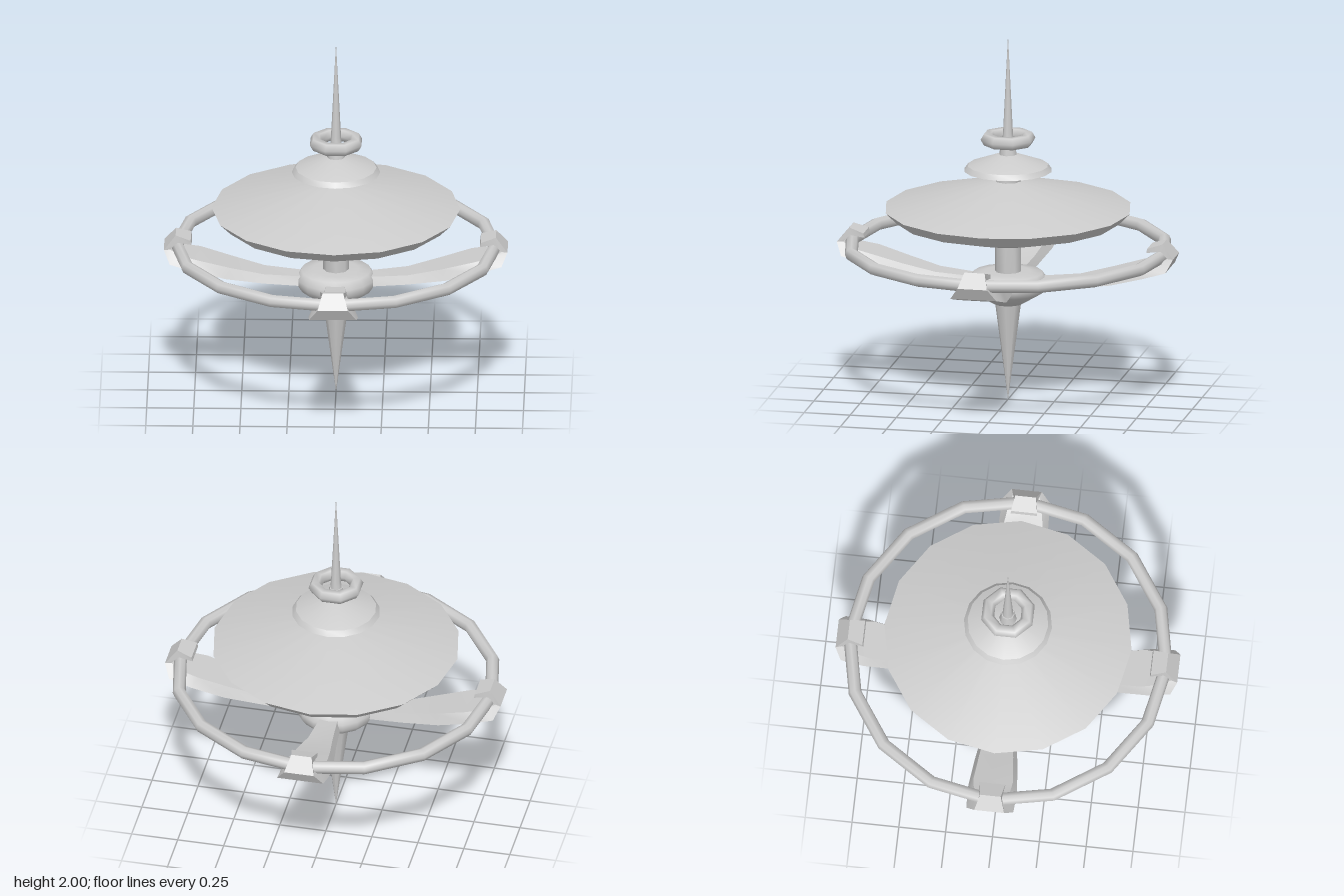
import * as THREE from 'three';
import { toCreasedNormals } from 'three/addons/utils/BufferGeometryUtils.js';

const material = new THREE.MeshStandardMaterial({ color: 0xcccccc });

function part(name, geometry, parent) {
  const mesh = new THREE.Mesh(geometry, material);
  mesh.name = name;
  parent.add(mesh);
  return mesh;
}

// Turned part: profile of [radius, height] from bottom to top
function turned(name, profile, sides, parent, crease = 0.5) {
  const points = profile.map(([r, y]) => new THREE.Vector2(r, y));
  return part(name, toCreasedNormals(new THREE.LatheGeometry(points, sides), crease), parent);
}

function ring(name, radius, tube, tubeSides, segments, y, parent) {
  const geometry = new THREE.TorusGeometry(radius, tube, tubeSides, segments);
  geometry.rotateX(Math.PI / 2);
  const mesh = part(name, geometry, parent);
  mesh.position.y = y;
  return mesh;
}

// Curved arm with a hooked end, lofted through four-cornered sections.
// Each section: outer [z, y, halfWidth], inner [z, y, halfWidth]
function armGeometry() {
  const sections = [
    [[0.15, 0.625, 0.06], [0.15, 0.675, 0.045]],
    [[0.38, 0.65, 0.085], [0.38, 0.695, 0.065]],
    [[0.58, 0.685, 0.115], [0.56, 0.74, 0.09]],
    [[0.76, 0.735, 0.132], [0.72, 0.785, 0.105]],
    [[0.88, 0.77, 0.125], [0.82, 0.805, 0.09]],
    [[0.912, 0.835, 0.08], [0.88, 0.835, 0.07]],
    [[0.85, 0.91, 0.055], [0.84, 0.87, 0.06]],
    [[0.77, 0.885, 0.07], [0.765, 0.862, 0.07]],
  ];
  const positions = [];
  const index = [];
  for (const [[zo, yo, wo], [zi, yi, wi]] of sections) {
    positions.push(-wo, yo, zo, wo, yo, zo, wi, yi, zi, -wi, yi, zi);
  }
  for (let i = 0; i < sections.length - 1; i++) {
    for (let k = 0; k < 4; k++) {
      const a = i * 4 + k;
      const b = i * 4 + ((k + 1) % 4);
      index.push(a, b, b + 4, a, b + 4, a + 4);
    }
  }
  const e = (sections.length - 1) * 4;
  index.push(0, 2, 1, 0, 3, 2, e, e + 1, e + 2, e, e + 2, e + 3);
  const geometry = new THREE.BufferGeometry();
  geometry.setAttribute('position', new THREE.Float32BufferAttribute(positions, 3));
  geometry.setIndex(index);
  return toCreasedNormals(geometry, 0.5);
}

export function createModel() {
  const model = new THREE.Group();
  model.name = 'spireStation';

  // Lower spike, core and central column
  turned('lowerSpike', [[0, 0], [0.072, 0.54]], 8, model, 0.9);
  turned('core', [[0, 0.53], [0.08, 0.53], [0.19, 0.595], [0.21, 0.625], [0.21, 0.66],
    [0.185, 0.698], [0.12, 0.705], [0, 0.705]], 16, model, 0.9);
  turned('column', [[0.07, 0.69], [0.07, 1.24]], 8, model, 0.9);

  // Main disc
  turned('mainDisc', [[0, 0.86], [0.12, 0.86], [0.6, 0.99], [0.66, 1.05],
    [0.075, 1.2], [0, 1.2]], 16, model);

  // Upper cap, neck, halo and antenna
  turned('upperCap', [[0, 1.225], [0.07, 1.225], [0.235, 1.258], [0.215, 1.285],
    [0.055, 1.345], [0, 1.345]], 16, model);
  turned('neck', [[0.048, 1.34], [0.036, 1.42], [0, 1.42]], 8, model, 0.9);
  ring('halo', 0.112, 0.036, 6, 8, 1.43, model).rotation.y = Math.PI / 8;
  turned('antenna', [[0.033, 1.4], [0.027, 1.46], [0, 2]], 8, model, 0.9);

  // Outer ring carried by four hooked arms
  ring('outerRing', 0.845, 0.035, 8, 16, 0.835, model);
  const arm = armGeometry();
  for (let i = 0; i < 4; i++) {
    part('arm', arm, model).rotation.y = (i * Math.PI) / 2;
  }
  return model;
}
